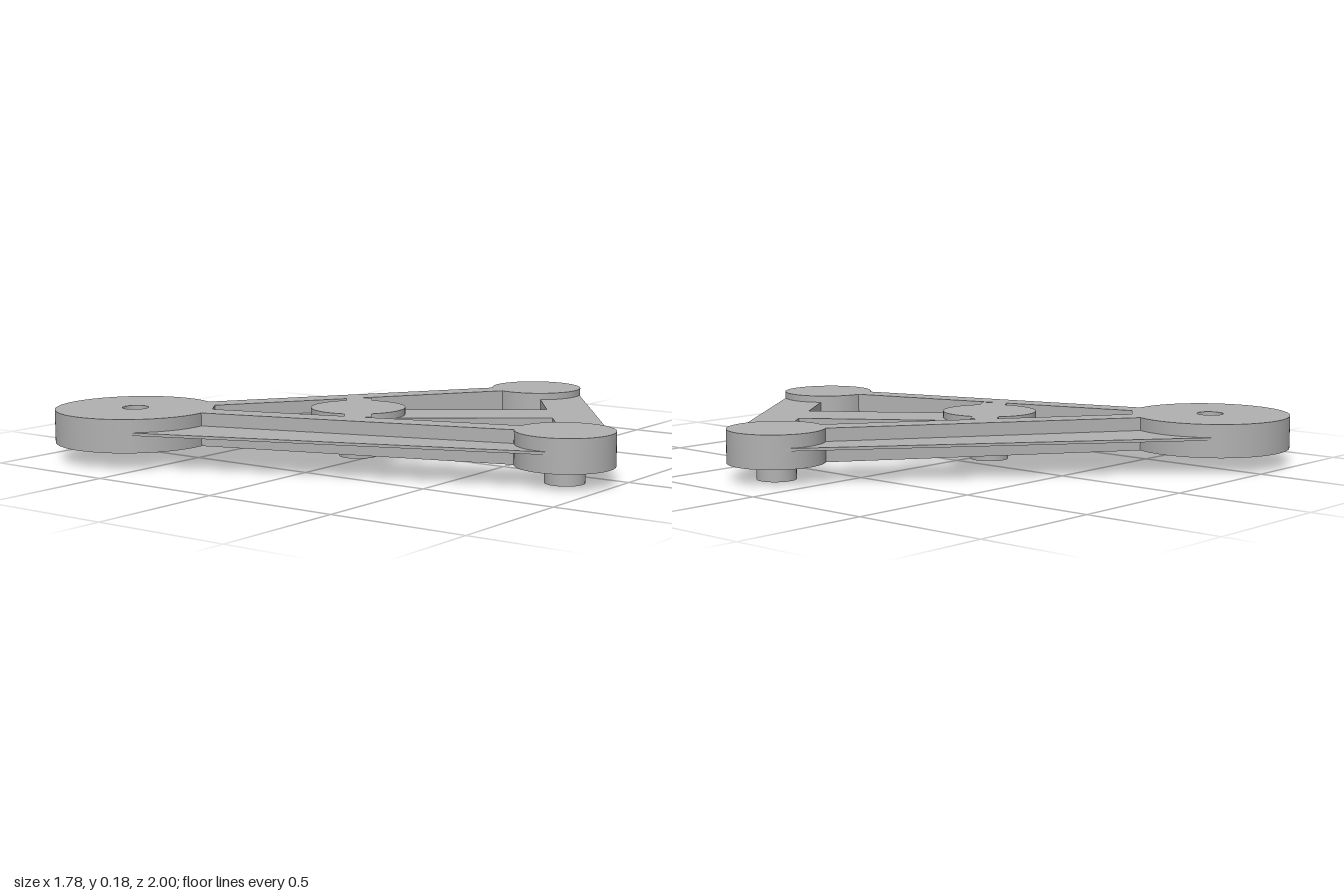
import * as THREE from 'three';
import { toCreasedNormals } from 'three/addons/utils/BufferGeometryUtils.js';

const BOTTOM = 0.06, TOP = 0.18, DISC_R = 0.173, HUB_R = 0.29, RIB = 0.048;
const V = (x, z) => new THREE.Vector2(x, z);

// Centres in plan (x, z)
const A = V(-0.605, -0.71), B = V(0.715, 0.2), C = V(-0.13, 0.825), D = V(-0.12, -0.055);

export function createModel() {
  const model = new THREE.Group();
  const grey = new THREE.MeshStandardMaterial({ color: 0xb0b0b0 });
  grey.name = 'plain grey';

  const add = (name, geometry, x = 0, y = 0, z = 0) => {
    const mesh = new THREE.Mesh(geometry, grey);
    mesh.name = name;
    mesh.position.set(x, y, z);
    model.add(mesh);
  };
  // Plan outline raised from y0 to y1
  const slab = (name, shape, y0, y1) => {
    const g = new THREE.ExtrudeGeometry(shape, { depth: y1 - y0, bevelEnabled: false, curveSegments: 64 });
    g.rotateX(Math.PI / 2);
    add(name, toCreasedNormals(g, 0.5), 0, y1, 0);
  };
  // Straight bar of given half width between two plan points
  const bar = (name, p, q, half, y0, y1) => {
    const d = q.clone().sub(p).normalize();
    const n = V(-d.y, d.x).multiplyScalar(half);
    slab(name, new THREE.Shape([
      p.clone().add(n), q.clone().add(n), q.clone().sub(n), p.clone().sub(n),
    ]), y0, y1);
  };

  // Hub with a through hole and a notch opening into the triangular recess
  const apex = V(-0.515, -0.59);
  const spread = Math.asin(RIB / HUB_R);
  const angB = B.clone().sub(A).angle() + spread;
  const angC = C.clone().sub(A).angle() - spread;
  const hub = new THREE.Shape();
  hub.moveTo(apex.x, apex.y);
  hub.absarc(A.x, A.y, HUB_R, angC, angB + Math.PI * 2, false);
  hub.closePath();
  hub.holes.push(new THREE.Path().absarc(A.x, A.y, 0.048, 0, Math.PI * 2, true));
  slab('hub', hub, BOTTOM, TOP);

  // Round bosses with hollow pegs underneath
  const pegProfile = [[0.07, 0], [0.07, 0.062], [0.04, 0.062], [0.04, 0], [0.07, 0]].map(([r, y]) => V(r, y));
  for (const [name, p] of [['right', B], ['front', C], ['centre', D]]) {
    add(name + 'Boss', new THREE.CylinderGeometry(DISC_R, DISC_R, TOP - BOTTOM, 64), p.x, (TOP + BOTTOM) / 2, p.y);
    add(name + 'Peg', toCreasedNormals(new THREE.LatheGeometry(pegProfile, 40), 0.5), p.x, 0, p.y);
  }

  // Long arms: a full-height rib with a thin flange outside it
  const arms = [
    ['right', B, V(-0.372, -0.881), V(0.816, 0.06)],
    ['left', C, V(-0.836, -0.542), V(-0.298, 0.865)],
  ];
  for (const [name, end, outerStart, outerEnd] of arms) {
    const start = A.clone().add(end.clone().sub(A).setLength(0.14));
    bar(name + 'Rib', start, end, RIB, BOTTOM, TOP);
    slab(name + 'Flange', new THREE.Shape([start, outerStart, outerEnd, end]), 0.123, 0.133);
  }

  // Thin web between the ribs, closed by a cross bar through the centre boss
  const crossR = V(0.064, -0.188), crossL = V(-0.309, 0.085);
  slab('triangleWeb', new THREE.Shape([apex, crossR, crossL]), 0.123, 0.133);
  bar('crossBar', crossR, crossL, RIB, BOTTOM, TOP);

  // Front tie between the two bosses, and the spoke to the centre
  slab('frontTie', new THREE.Shape([B, V(0.813, 0.333), V(-0.032, 0.958), C]), 0.12, 0.155);
  bar('spoke', D, V(0.3, 0.518), 0.104, 0.12, 0.155);

  return model;
}
